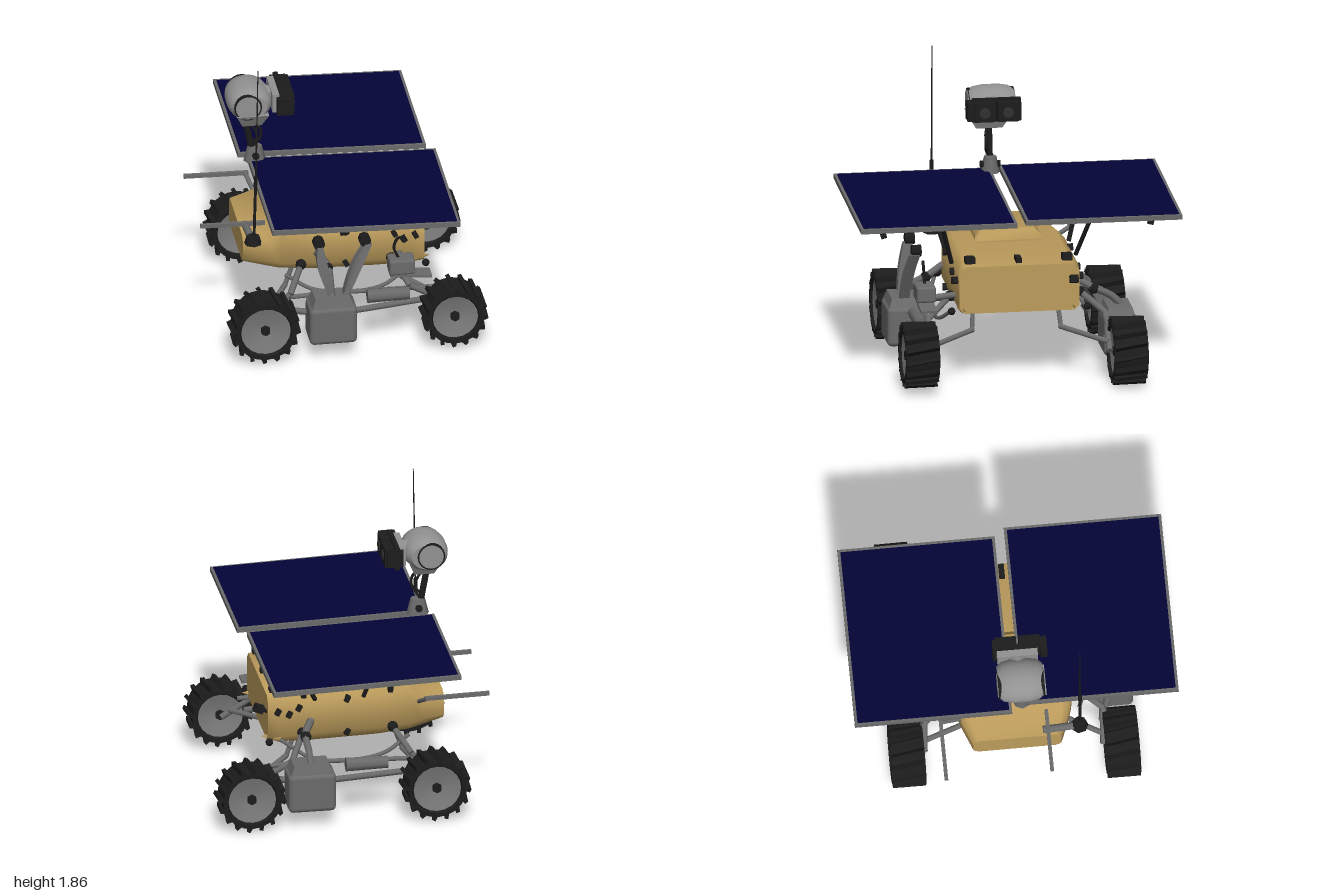
import * as THREE from 'three';
import { toCreasedNormals } from 'three/addons/utils/BufferGeometryUtils.js';
import { RoundedBoxGeometry } from 'three/addons/geometries/RoundedBoxGeometry.js';

const mat = (name, color) => {
  const m = new THREE.MeshStandardMaterial({ color });
  m.name = name;
  return m;
};
const foil = mat('gold foil', 0xbc9c5c);
const navy = mat('solar navy', 0x040438);
const light = mat('light grey', 0x929292);
const wheelGrey = mat('wheel grey', 0x7a7a7a);
const grey = mat('mid grey', 0x6a6a6a);
const lens = mat('lens grey', 0x303032);
const dark = mat('charcoal', 0x1c1c1c);
const V = (p) => new THREE.Vector3(...p);

function add(parent, name, geo, material, pos = [0, 0, 0], rot = [0, 0, 0]) {
  const m = new THREE.Mesh(geo, material);
  m.name = name;
  m.position.set(...pos);
  m.rotation.set(...rot);
  parent.add(m);
  return m;
}
const box = (parent, name, size, material, pos, rot) =>
  add(parent, name, new THREE.BoxGeometry(...size), material, pos, rot);

// Straight round bar between two points, optionally tapered
function rod(parent, name, a, b, r, material, r2 = r) {
  const d = V(b).sub(V(a));
  const m = add(parent, name, new THREE.CylinderGeometry(r2, r, d.length(), 8), material);
  m.position.copy(V(a)).addScaledVector(d, 0.5);
  m.quaternion.setFromUnitVectors(new THREE.Vector3(0, 1, 0), d.normalize());
  return m;
}
const tube = (parent, name, pts, r, material) =>
  add(parent, name, new THREE.TubeGeometry(new THREE.CatmullRomCurve3(pts.map(V)), 20, r, 6), material);

// Chamfered box sections joined along x: [x, bottom, top, half width, top chamfer, bottom chamfer]
function loft(sections) {
  const pos = [], idx = [], n = 8;
  for (const [x, b, t, w, c, d] of sections) {
    const ring = [[t, -w + c], [t, w - c], [t - c, w], [b + d, w], [b, w - d], [b, -w + d], [b + d, -w], [t - c, -w]];
    ring.forEach(([y, z]) => pos.push(x, y, z));
  }
  for (let i = 0; i < sections.length - 1; i++)
    for (let j = 0; j < n; j++) {
      const a = i * n + j, b = i * n + (j + 1) % n;
      idx.push(a, b, b + n, a, b + n, a + n);
    }
  const e = (sections.length - 1) * n;
  for (let j = 1; j < n - 1; j++) idx.push(0, j + 1, j, e, e + j, e + j + 1);
  const g = new THREE.BufferGeometry();
  g.setAttribute('position', new THREE.Float32BufferAttribute(pos, 3));
  g.setIndex(idx);
  return toCreasedNormals(g, 0.85);
}

function makeBody() {
  const g = new THREE.Group();
  g.name = 'body';
  add(g, 'hull', loft([
    [-0.62, 0.47, 0.65, 0.27, 0.03, 0.03],
    [-0.47, 0.44, 0.67, 0.33, 0.04, 0.06],
    [-0.40, 0.43, 0.75, 0.35, 0.05, 0.06],
    [-0.20, 0.42, 0.765, 0.38, 0.06, 0.07],
    [0.20, 0.41, 0.755, 0.38, 0.06, 0.07],
    [0.40, 0.42, 0.748, 0.375, 0.04, 0.05],
    [0.49, 0.44, 0.735, 0.37, 0.04, 0.03],
  ]), foil);
  add(g, 'topHousing', loft([
    [-0.41, 0.74, 0.78, 0.21, 0.015, 0.001],
    [-0.36, 0.74, 0.84, 0.20, 0.04, 0.001],
    [-0.01, 0.74, 0.835, 0.20, 0.04, 0.001],
    [0.03, 0.74, 0.77, 0.21, 0.01, 0.001],
  ]), foil);
  for (const s of [1, -1]) add(g, 'cornerLip', new THREE.ConeGeometry(0.04, 0.12, 4), foil, [0.47, 0.465, s * 0.34], [0, 0, -1.5]);

  // Small instruments fixed to the hull
  box(g, 'deckInstrument', [0.09, 0.03, 0.035], dark, [0.43, 0.76, 0]);
  for (const s of [1, -1]) {
    box(g, 'cornerInstrument', [0.08, 0.04, 0.06], dark, [0.43, 0.765, s * 0.3], [0, 0, 0.1]);
    box(g, 'rearDeckInstrument', [0.07, 0.04, 0.05], dark, [-0.34, 0.78, s * 0.27], [0, 0.3, 0.1]);
    add(g, 'cornerKnob', new THREE.IcosahedronGeometry(0.024, 1), dark, [0.49, 0.46, s * 0.42]);
    for (const [x, y] of [[0, 0.7], [0, 0.48], [0.36, 0.62], [0.3, 0.66], [0.43, 0.64]])
      box(g, 'sideFitting', [0.028, 0.04, 0.035], dark, [x, y, s * 0.385], [0, 0, 0.5]);
  }
  box(g, 'frontSensor', [0.06, 0.045, 0.05], dark, [0.54, 0.65, -0.33], [0, 0, 0.4]);
  rod(g, 'frontSensorArm', [0.47, 0.62, -0.33], [0.54, 0.65, -0.33], 0.012, dark);
  return g;
}

function makePanel(x, z) {
  const g = new THREE.Group();
  g.name = 'solarPanel';
  box(g, 'panelFrame', [1.165, 0.03, 0.967], grey);
  for (const s of [1, -1]) box(g, 'solarCells', [1.13, 0.004, 0.932], navy, [0, s * 0.0155, 0]);
  g.position.set(x, 1.038, z);
  g.rotation.z = -0.03;
  return g;
}

// Wheel with its axle along z and a shallow dished disc on both faces
function makeWheel([x, y, z, r]) {
  const g = new THREE.Group();
  g.name = 'wheel';
  const k = r - 0.03, d = k - 0.028;
  const lathe = (name, profile, m) =>
    add(g, name, toCreasedNormals(new THREE.LatheGeometry(profile.map((p) => new THREE.Vector2(...p)), 20), 0.5), m, [0, 0, 0], [Math.PI / 2, 0, 0]);
  lathe('rim', [[k - 0.045, -0.07], [k - 0.025, -0.105], [k, -0.105], [k, 0.105], [k - 0.025, 0.105], [k - 0.045, 0.07]], dark);
  lathe('wheelDisc', [[0, -0.06], [0.04, -0.06], [d, -0.09], [d, 0.09], [0.04, 0.06], [0, 0.06]], wheelGrey);
  add(g, 'hub', new THREE.CylinderGeometry(0.03, 0.03, 0.18, 6), dark, [0, 0, 0], [Math.PI / 2, 0, 0]);
  for (let i = 0; i < 16; i++) {
    const pivot = new THREE.Group();
    pivot.name = 'treadLug';
    pivot.rotation.z = (i / 16) * Math.PI * 2;
    box(pivot, 'lugBlade', [0.045, 0.024, 0.205], dark, [k + 0.003, 0, 0], [0.15, 0, 0.45]);
    g.add(pivot);
  }
  g.position.set(x, y, z);
  return g;
}

// Drive box, motor and links on one side; s is the sign of z
function makeSuspension(s, bx, wheels) {
  const g = new THREE.Group();
  g.name = 'suspension';
  const z = s * 0.64, dir = -Math.sign(bx);
  add(g, 'driveBox', new RoundedBoxGeometry(0.295, 0.25, 0.21, 2, 0.03), grey, [bx, 0.235, z]);
  add(g, 'driveBoxCap', toCreasedNormals(new THREE.CylinderGeometry(0.14, 0.18, 0.07, 4, 1).rotateY(Math.PI / 4).scale(1.1, 1, 0.75), 0.4), grey, [bx, 0.375, z]);
  rod(g, 'driveMotor', [bx + dir * 0.23, 0.35, s * 0.59], [bx + dir * 0.49, 0.35, s * 0.59], 0.045, grey, 0.04);
  for (const [x, y, wz] of wheels) {
    const e = Math.sign(x), inner = wz - s * 0.11;
    // Bent arm from the belly to the inside of the wheel
    const bend = [e * 0.36, 0.3, s * 0.275];
    rod(g, 'armDrop', [e * 0.3, 0.46, s * 0.26], bend, 0.014, grey);
    add(g, 'armElbow', new THREE.SphereGeometry(0.017, 8, 6), grey, bend);
    rod(g, 'armReach', bend, [x - e * 0.05, y + 0.045, inner], 0.017, grey);
    // Steering arm over the side of the hull
    add(g, 'armJoint', new THREE.IcosahedronGeometry(0.034, 1), dark, [e * 0.28, 0.5, s * 0.4]);
    rod(g, 'steeringArm', [e * 0.28, 0.5, s * 0.4], [e * 0.37, 0.38, s * 0.55], 0.02, grey);
    rod(g, 'steeringLink', [e * 0.37, 0.38, s * 0.55], [x, y, inner], 0.02, grey);
    rod(g, 'lowerLink', [bx, 0.27, z], [x - e * 0.14, 0.27, inner], 0.02, grey);
    rod(g, 'upperLink', [bx, 0.37, s * 0.55], [x - e * 0.1, 0.35, inner], 0.015, grey);
  }
  tube(g, 'sideRail', [[-0.38, 0.44, s * 0.4], [-0.2, 0.35, s * 0.46], [0.2, 0.34, s * 0.46], [0.42, 0.46, s * 0.39]], 0.012, grey);
  // Rocker from the hull side out to the drive box
  tube(g, 'rocker', [[bx - 0.05, 0.57, s * 0.38], [bx, 0.52, s * 0.48], [bx, 0.46, s * 0.6], [bx, 0.4, s * 0.66]], 0.024, grey);
  add(g, 'rockerPivot', new THREE.IcosahedronGeometry(0.035, 1), dark, [bx, 0.51, s * 0.49]);
  return g;
}

// Two upright flat blades with dark pivots above the drive box
function makeBlades() {
  const g = new THREE.Group();
  g.name = 'uprightBlades';
  for (const pts of [[[-0.2, 0.72], [-0.2, 0.58], [-0.13, 0.41]], [[0.1, 0.72], [0.02, 0.59], [-0.04, 0.41]]]) {
    const [[tx, ty], [mx, my], [bx, by]] = pts;
    const shape = new THREE.Shape();
    shape.moveTo(tx - 0.012, ty);
    shape.quadraticCurveTo(mx - 0.04, my + 0.02, bx - 0.018, by);
    shape.lineTo(bx + 0.018, by);
    shape.quadraticCurveTo(mx + 0.05, my + 0.02, tx + 0.025, ty);
    shape.closePath();
    const geo = new THREE.ExtrudeGeometry(shape, { depth: 0.06, bevelEnabled: false, curveSegments: 8 });
    // Bow the blade outward towards its foot
    const p = geo.attributes.position;
    for (let i = 0; i < p.count; i++) p.setZ(i, p.getZ(i) + 0.045 * Math.sin(((0.72 - p.getY(i)) / 0.31) * Math.PI / 2));
    add(g, 'blade', toCreasedNormals(geo, 0.5), grey, [0, 0, 0.56]);
    add(g, 'bladePivot', new THREE.CylinderGeometry(0.037, 0.037, 0.06, 8), dark, [tx === 0.1 ? 0.085 : tx, 0.74, 0.58], [Math.PI / 2, 0, 0]);
  }
  return g;
}

function makeMast() {
  const g = new THREE.Group();
  g.name = 'cameraMast';
  const round = (name, r, h, m, p, n = 24) => add(g, name, new THREE.CylinderGeometry(r, r, h, n), m, p, [Math.PI / 2, 0, 0]);
  add(g, 'mastBase', new THREE.CylinderGeometry(0.045, 0.07, 0.1, 8).scale(1, 1, 0.85), grey, [-0.51, 1.105, 0.035]);
  round('basePivot', 0.022, 0.125, dark, [-0.51, 1.105, 0.035], 8);
  rod(g, 'mastPole', [-0.53, 1.14, 0.035], [-0.57, 1.36, 0.035], 0.02, dark);
  tube(g, 'mastCable', [[-0.55, 1.32, 0.05], [-0.49, 1.3, 0.065], [-0.475, 1.24, 0.065], [-0.5, 1.19, 0.06], [-0.53, 1.15, 0.04]], 0.009, dark);
  tube(g, 'mastCable', [[-0.56, 1.34, 0.045], [-0.52, 1.29, 0.06], [-0.5, 1.22, 0.06], [-0.54, 1.17, 0.045]], 0.008, dark);
  add(g, 'neckCollar', toCreasedNormals(new THREE.CylinderGeometry(0.14, 0.085, 0.09, 4).rotateY(Math.PI / 4).scale(1, 1, 1.35), 0.4), light, [-0.54, 1.385, 0.045]);
  // Oval drum head with rounded ends, axis along z
  const drum = [[0, -0.14], [0.08, -0.14], [0.1, -0.11], [0.11, -0.05], [0.11, 0.05], [0.1, 0.11], [0.08, 0.14], [0, 0.14]];
  const head = add(g, 'head', toCreasedNormals(new THREE.LatheGeometry(drum.map((p) => new THREE.Vector2(...p)), 24), 0.7), light, [-0.55, 1.485, 0.025], [Math.PI / 2, 0, 0]);
  head.scale.x = 1.25;
  round('sideRing', 0.086, 0.285, dark, [-0.57, 1.487, 0.025]);
  round('sideCap', 0.076, 0.292, light, [-0.57, 1.487, 0.025]);
  rod(g, 'headSnout', [-0.5, 1.485, 0.02], [-0.38, 1.49, 0.02], 0.085, light, 0.055);
  box(g, 'cameraBracket', [0.06, 0.12, 0.25], light, [-0.385, 1.492, 0.02]);
  // Twin cameras facing +x
  box(g, 'cameraBar', [0.03, 0.145, 0.3], dark, [-0.357, 1.492, 0.02]);
  for (const z of [0.1, -0.045]) {
    box(g, 'cameraBox', [0.07, 0.12, 0.13], dark, [-0.318, 1.492, z]);
    add(g, 'cameraLens', new THREE.CylinderGeometry(0.035, 0.035, 0.008, 8), lens, [-0.28, 1.492, z], [0, 0, Math.PI / 2]);
  }
  for (const [z, w] of [[0.185, 0.04], [-0.118, 0.02]]) box(g, 'cameraSide', [0.1, 0.11, w], dark, [-0.345, 1.492, z]);
  return g;
}

function makeAntenna() {
  const g = new THREE.Group();
  g.name = 'antenna';
  rod(g, 'antennaWhip', [-0.56, 1.0, 0.39], [-0.545, 1.86, 0.39], 0.006, dark, 0.003);
  rod(g, 'antennaStem', [-0.57, 0.69, 0.39], [-0.56, 1.06, 0.39], 0.009, dark);
  rod(g, 'antennaJoint', [-0.56, 1.06, 0.39], [-0.558, 1.13, 0.39], 0.012, dark);
  add(g, 'antennaFoot', new THREE.CylinderGeometry(0.04, 0.055, 0.05, 7), dark, [-0.575, 0.69, 0.385]);
  rod(g, 'antennaArm', [-0.59, 0.68, 0.16], [-0.58, 0.68, 0.37], 0.025, grey);
  for (const z of [-0.46, 0.19]) box(g, 'rearBoom', [0.4, 0.024, 0.022], grey, [-0.67, 0.7, z], [0, 0, -0.02]);
  rod(g, 'boomBracket', [-0.45, 0.62, -0.32], [-0.49, 0.695, -0.46], 0.014, grey);
  return g;
}

export function createModel() {
  const root = new THREE.Group();
  root.name = 'rover';
  root.add(makeBody(), makePanel(0.03, 0.514), makePanel(-0.02, -0.514), makeMast(), makeAntenna(), makeBlades());

  const leftWheels = [[-0.55, 0.232, 0.645, 0.218], [0.625, 0.232, 0.64, 0.205]];
  const rightWheels = [[-0.495, 0.22, -0.67, 0.212], [0.65, 0.215, -0.645, 0.212]];
  for (const w of [...leftWheels, ...rightWheels]) root.add(makeWheel(w));
  root.add(makeSuspension(1, -0.13, leftWheels), makeSuspension(-1, 0.275, rightWheels));

  // Struts and latches under the panels
  for (const [s, feet] of [[1, [[-0.09, 0.07], [0.43, 0.28]]], [-1, [[-0.19, -0.1], [0.35, 0.2]]]])
    for (const [top, foot] of feet) {
      rod(root, 'panelStrut', [foot, 0.71, s * 0.39], [top, 1.01, s * 0.475], 0.014, dark);
      box(root, 'panelLatch', [0.03, 0.09, 0.035], dark, [top, 0.97, s * 0.84], [s * 0.25, 0, 0]);
    }

  // Side instrument box on its arm
  add(root, 'instrumentBox', new RoundedBoxGeometry(0.16, 0.1, 0.12, 2, 0.015), grey, [0.315, 0.54, 0.56]);
  rod(root, 'instrumentArm', [0.33, 0.52, 0.36], [0.33, 0.5, 0.6], 0.02, grey);
  box(root, 'instrumentTray', [0.26, 0.015, 0.1], grey, [0.37, 0.475, 0.56], [0, 0, -0.1]);
  tube(root, 'instrumentCable', [[0.3, 0.58, 0.56], [0.27, 0.66, 0.56], [0.3, 0.73, 0.57], [0.33, 0.7, 0.57]], 0.009, dark);
  return root;
}
